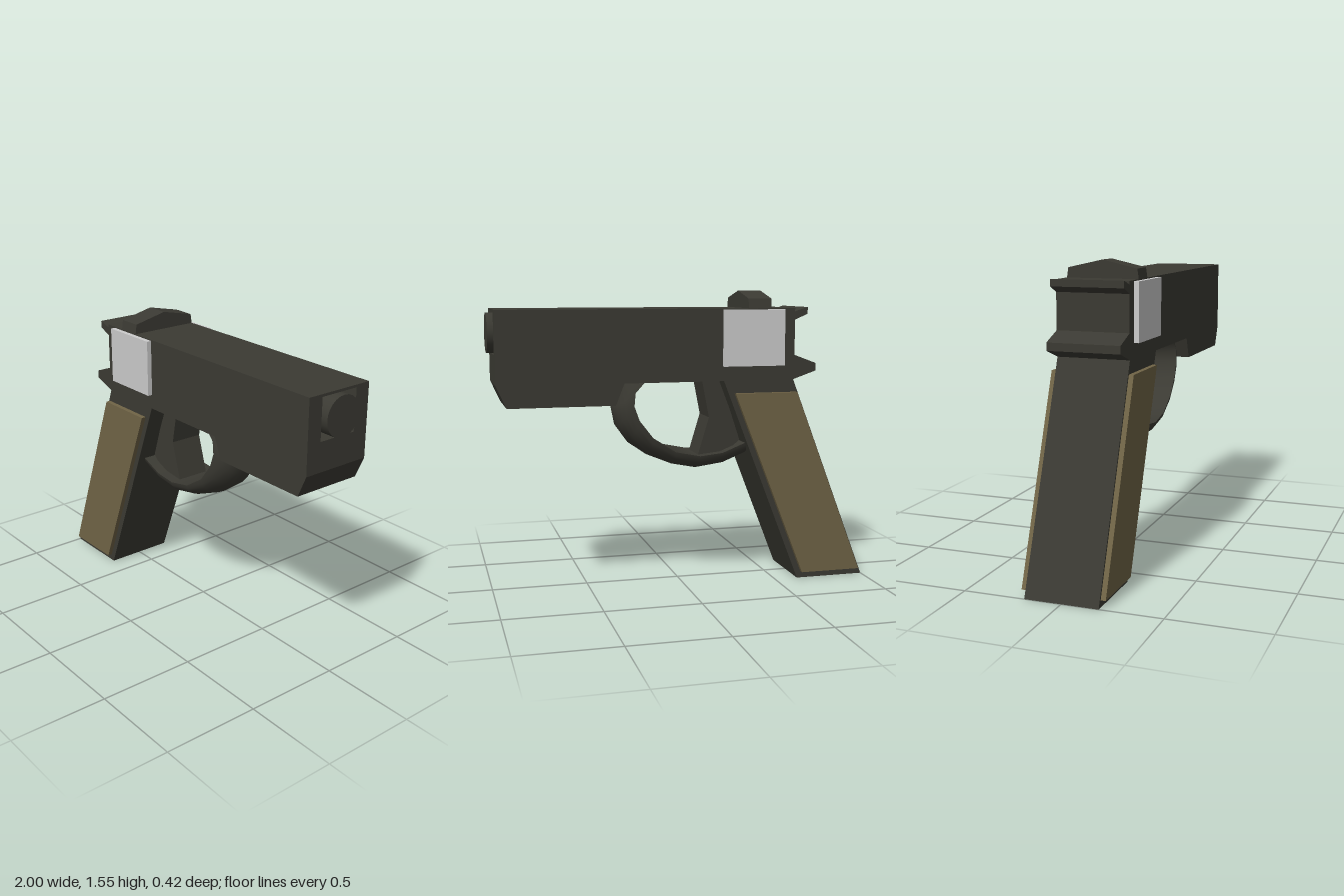
import * as THREE from 'three';
import { toCreasedNormals } from 'three/addons/utils/BufferGeometryUtils.js';

const dark = new THREE.MeshStandardMaterial({ color: 0x3b3a33 });
const olive = new THREE.MeshStandardMaterial({ color: 0x706446 });
const grey = new THREE.MeshStandardMaterial({ color: 0xcccccc });

const points = (list) => list.map(([x, y]) => new THREE.Vector2(x, y));

// Side profile (x, y) extruded symmetrically across z
function plate(name, profile, halfWidth, material) {
  const geo = new THREE.ExtrudeGeometry(new THREE.Shape(points(profile)), { depth: halfWidth * 2, bevelEnabled: false });
  geo.translate(0, 0, -halfWidth);
  const mesh = new THREE.Mesh(geo, material);
  mesh.name = name;
  return mesh;
}

// Cross-section (z, y) extruded along x, with an optional hole
function bar(name, section, x0, x1, material, hole) {
  const shape = new THREE.Shape(points(section));
  if (hole) shape.holes.push(new THREE.Path(points(hole)));
  const geo = new THREE.ExtrudeGeometry(shape, { depth: x1 - x0, bevelEnabled: false });
  geo.rotateY(Math.PI / 2).translate(x0, 0, 0);
  const mesh = new THREE.Mesh(geo, material);
  mesh.name = name;
  return mesh;
}

// Half-round band lofted between an inner and an outer curve
function guardGeometry(inner, outer, halfWidth, steps) {
  const position = [], index = [], ring = steps + 1;
  inner.forEach(([ix, iy], i) => {
    const [ox, oy] = outer[i];
    for (let j = 0; j <= steps; j++) {
      const a = (j / steps) * Math.PI, s = Math.sin(a);
      position.push(ix + (ox - ix) * s, iy + (oy - iy) * s, halfWidth * Math.cos(a));
    }
  });
  for (let i = 0; i < inner.length - 1; i++) {
    for (let j = 0; j < ring; j++) {
      const k = (j + 1) % ring;
      const a = i * ring + j, b = i * ring + k, c = a + ring, d = b + ring;
      index.push(a, c, b, b, c, d);
    }
  }
  const geo = new THREE.BufferGeometry();
  geo.setAttribute('position', new THREE.Float32BufferAttribute(position, 3));
  geo.setIndex(index);
  return toCreasedNormals(geo, 0.8);
}

export function createModel() {
  const model = new THREE.Group();
  model.name = 'pistol';
  const W = 0.187;

  // Hollow slide, open at the muzzle
  model.add(bar('slide',
    [[-W, 1.085], [W, 1.085], [W, 1.46], [-W, 1.46]], -0.2, 0.97, dark,
    [[-0.107, 1.235], [-0.107, 1.447], [0.107, 1.447], [0.107, 1.235]]));

  // Rear of the frame with its tang
  model.add(plate('rearFrame', [
    [-0.58, 1.085], [-0.2, 1.085], [-0.2, 1.46], [-0.59, 1.46],
    [-0.59, 1.215], [-0.71, 1.17], [-0.71, 1.13],
  ], W, dark));
  model.add(plate('hammer', [[-0.66, 1.43], [-0.58, 1.395], [-0.58, 1.44], [-0.66, 1.465]], W, dark));
  model.add(plate('dustCover', [[0.37, 0.973], [0.92, 0.973], [0.97, 1.085], [0.325, 1.085]], W, dark));

  // Peaked rear sight
  model.add(bar('rearSight', [[-W, 1.455], [W, 1.455], [0.179, 1.51], [0, 1.55], [-0.179, 1.51]], -0.46, -0.335, dark));

  // Block showing on both sides and at the end of the bore
  const block = new THREE.Mesh(new THREE.BoxGeometry(0.33, 0.293, 0.424), grey);
  block.name = 'ejectionBlock';
  block.position.set(-0.362, 1.308, 0);
  model.add(block);

  // Barrel
  const barrel = new THREE.Mesh(new THREE.CylinderGeometry(0.102, 0.102, 0.6, 24), dark);
  barrel.name = 'barrel';
  barrel.rotation.z = -Math.PI / 2;
  barrel.position.set(0.7, 1.341, 0);
  model.add(barrel);

  // Grip and its side panels
  model.add(plate('grip', [[-1, 0], [-0.625, 0], [-0.203, 1.085], [-0.585, 1.085]], W, dark));
  model.add(plate('gripPanels', [[-0.975, 0.035], [-0.645, 0.035], [-0.26, 1.02], [-0.6, 1.02]], 0.212, olive));

  // Trigger
  model.add(plate('trigger', [
    [-0.32, 0.76], [-0.22, 0.67], [-0.085, 0.67], [-0.15, 0.885], [-0.11, 1.09], [-0.21, 1.09],
  ], 0.09, dark));

  // Trigger guard
  const inner = [[0.2, 1.095], [0.259, 1.029], [0.265, 0.96], [0.238, 0.885], [0.163, 0.789],
    [0.045, 0.714], [-0.088, 0.687], [-0.21, 0.7], [-0.36, 0.76]];
  const outer = [[0.325, 1.095], [0.35, 1.02], [0.361, 0.949], [0.34, 0.848], [0.275, 0.757],
    [0.174, 0.687], [0.045, 0.634], [-0.088, 0.608], [-0.233, 0.628], [-0.375, 0.685]];
  outer.splice(1, 1); // one outer point per inner point
  const guard = new THREE.Mesh(guardGeometry(inner, outer, 0.147, 12), dark);
  guard.material = dark.clone();
  guard.material.side = THREE.DoubleSide;
  guard.name = 'triggerGuard';
  model.add(guard);

  return model;
}
